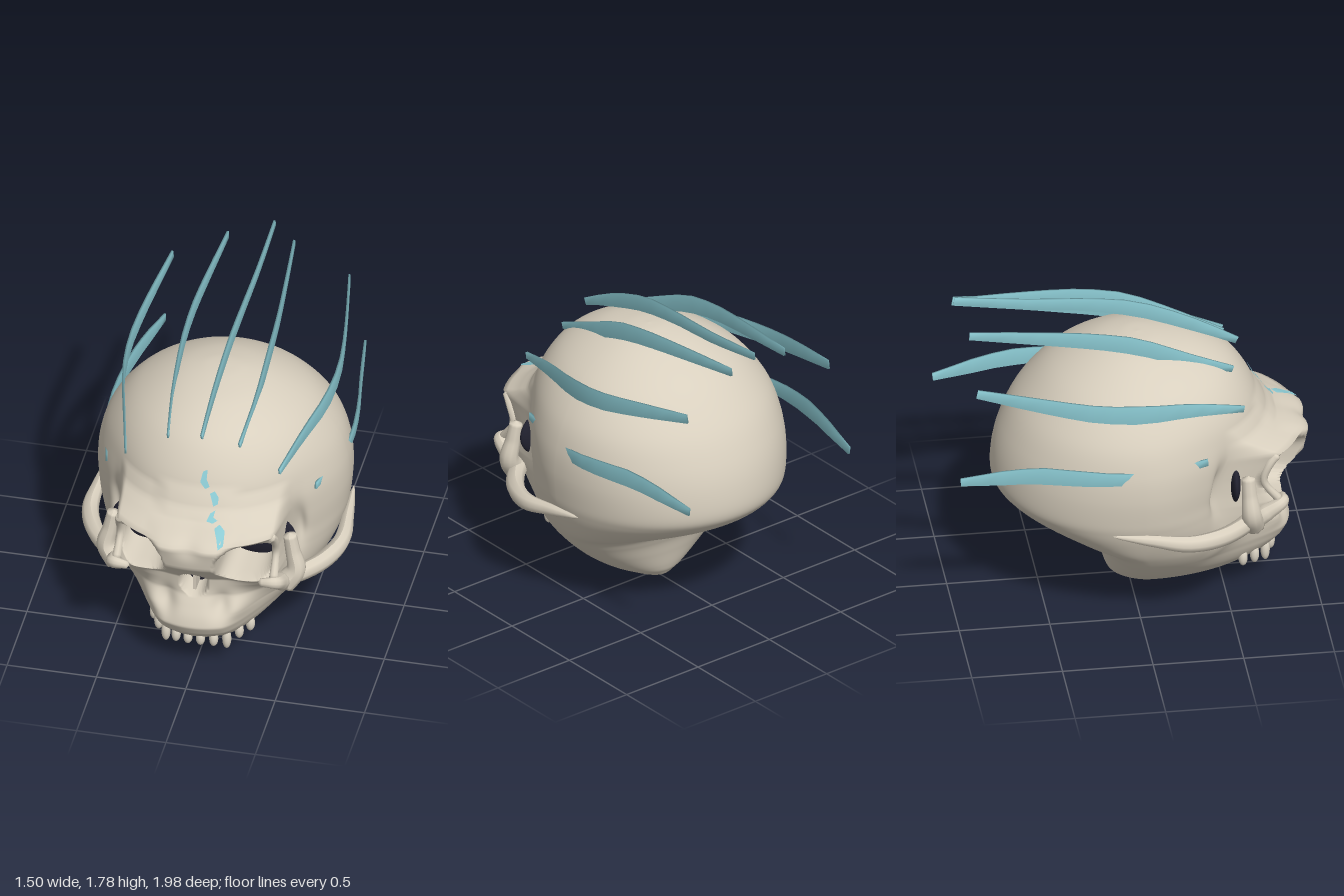
import * as THREE from 'three';

const V = (x, y, z) => new THREE.Vector3(x, y, z);
const smooth = (a, b, x) => THREE.MathUtils.smoothstep(x, a, b);
const mix = THREE.MathUtils.lerp;

// Piecewise linear lookup in [[key, value], ...]
function lookup(table, k) {
  if (k <= table[0][0]) return table[0][1];
  for (let i = 1; i < table.length; i++) {
    const [k0, v0] = table[i - 1], [k1, v1] = table[i];
    if (k <= k1) return mix(v0, v1, (k - k0) / (k1 - k0));
  }
  return table[table.length - 1][1];
}

// Skin closed rings of points (counter-clockwise about the direction of travel)
function loft(rings, capped) {
  const n = rings[0].length, last = (rings.length - 1) * n, index = [];
  for (let r = 0; r < rings.length - 1; r++) {
    for (let c = 0; c < n; c++) {
      const a = r * n + c, b = r * n + (c + 1) % n;
      index.push(a, b, a + n, b, b + n, a + n);
    }
  }
  if (capped) {
    for (let c = 1; c < n - 1; c++) index.push(0, c + 1, c, last, last + c, last + c + 1);
  }
  const geo = new THREE.BufferGeometry().setFromPoints(rings.flat());
  geo.setIndex(index);
  geo.computeVertexNormals();
  return geo;
}

// Rounded bone along a curve with varying radius and closed ends
function taperedTube(points, radii, segments = 24, sides = 10) {
  const curve = new THREE.CatmullRomCurve3(points);
  const geo = new THREE.TubeGeometry(curve, segments, 1, sides);
  const pos = geo.attributes.position, p = V(0, 0, 0);
  const table = radii.map((r, i) => [i / (radii.length - 1), r]);
  for (let i = 0; i < pos.count; i++) {
    const u = Math.floor(i / (sides + 1)) / segments, c = curve.getPointAt(u);
    const r = u === 0 || u === 1 ? 0 : lookup(table, u);
    p.fromBufferAttribute(pos, i).sub(c).multiplyScalar(r).add(c);
    pos.setXYZ(i, p.x, p.y, p.z);
  }
  geo.computeVertexNormals();
  return geo;
}

// Thin upright blade along a curve
function blade(points, heights) {
  const curve = new THREE.CatmullRomCurve3(points), rings = [], n = 12;
  const table = heights.map((h, i) => [i / (heights.length - 1), h]);
  for (let i = 0; i <= n; i++) {
    const p = curve.getPointAt(i / n), t = curve.getTangentAt(i / n);
    const side = t.clone().cross(V(0, 1, 0)).normalize(), down = t.clone().cross(side);
    const h = lookup(table, i / n);
    rings.push([[1, 1], [-1, 1], [-1, -1], [1, -1]].map(([a, b]) =>
      p.clone().addScaledVector(side, a * 0.006).addScaledVector(down, b * h)));
  }
  return loft(rings, true);
}

// Skull levels: y, front z, back z, half width, z of the widest point
const LEVELS = [
  [0, 0.1, 0.1, 0, 0.1], [0.01, 0.22, -0.06, 0.08, 0.08], [0.05, 0.42, -0.11, 0.18, 0.1],
  [0.1, 0.59, -0.135, 0.27, 0.1], [0.2, 0.66, -0.165, 0.4, 0.08], [0.3, 0.69, -0.2, 0.5, 0.05],
  [0.38, 0.7, -0.26, 0.565, 0.03], [0.45, 0.69, -0.42, 0.61, 0], [0.54, 0.67, -0.6, 0.65, 0],
  [0.62, 0.67, -0.71, 0.675, 0], [0.7, 0.68, -0.755, 0.69, 0], [0.85, 0.7, -0.745, 0.7, 0],
  [1.0, 0.72, -0.7, 0.685, 0], [1.15, 0.7, -0.62, 0.635, 0], [1.3, 0.62, -0.49, 0.53, 0.02],
  [1.4, 0.52, -0.36, 0.41, 0.04], [1.48, 0.36, -0.2, 0.26, 0.05], [1.52, 0.18, -0.05, 0.12, 0.05],
  [1.53, 0.05, 0.05, 0, 0.05]];
// How far the face stands out from the braincase, near the middle and at the sides
const MIDDLE = [[0.05, 0], [0.1, 0.02], [0.2, 0.12], [0.27, 0.17], [0.33, 0.19], [0.4, 0.165], [0.5, 0.13],
  [0.62, 0.14], [0.7, 0.2], [0.78, 0.27], [0.92, 0.28], [0.96, 0.22], [1, 0.1], [1.06, 0.04], [1.16, 0]];
const SIDES = [[0.3, 0], [0.4, 0.02], [0.5, 0.09], [0.58, 0.18], [0.64, 0.23], [0.7, 0.18],
  [0.8, 0.15], [0.9, 0.2], [0.94, 0.24], [0.98, 0.14], [1.04, 0.04], [1.12, 0]];

function faceZ(x, y, z) {
  const ax = Math.abs(x);
  const bump = (cx, cy, sx, sy) => Math.exp(-(((ax - cx) / sx) ** 2) - ((y - cy) / sy) ** 2);
  const edge = mix(0.42, 0.27, smooth(0.6, 0.75, y));
  const out = mix(lookup(MIDDLE, y), lookup(SIDES, y), smooth(0.15, edge, ax));
  z += out * (1 - smooth(0.43, 0.48, ax));
  z += 0.03 * bump(0.25, 0.42, 0.06, 0.06) - 0.04 * bump(0.15, 0.45, 0.05, 0.07);
  z -= 0.03 * bump(0, 0.93, 0.07, 0.06) + 0.07 * bump(0.5, 0.78, 0.04, 0.16);
  // eye sockets and nose opening
  const eye = (Math.abs(ax - 0.288) / 0.128) ** 2.7 + (Math.abs(y - 0.775) / 0.12) ** 2.7;
  z = mix(z, Math.min(z, 0.44), 1 - smooth(0.75, 1.35, eye));
  const nose = (ax / 0.066) ** 2 + ((y - 0.585) / 0.078) ** 2;
  return mix(z, 0.6, 1 - smooth(0.75, 1.35, nose));
}

function skullGeometry() {
  const depth = new THREE.CatmullRomCurve3(LEVELS.map(([y, f, b]) => V(f, y, b)), false, 'catmullrom');
  const width = new THREE.CatmullRomCurve3(LEVELS.map(([y, , , w, c]) => V(w, y, c)), false, 'catmullrom');
  const angles = [], rings = [], rows = 180;
  for (let i = 0; i < 160; i++) angles.push(-Math.PI / 2 + (i / 160) * Math.PI);
  for (let i = 0; i < 44; i++) angles.push(Math.PI / 2 + (i / 44) * Math.PI);
  for (let r = 0; r <= rows; r++) {
    const d = depth.getPoint(r / rows), w = width.getPoint(r / rows), y = d.y;
    const temple = 0.045 * smooth(0.5, 0.75, y) * (1 - smooth(1.05, 1.3, y));
    rings.push(angles.map((a) => {
      const c = Math.cos(a);
      if (c <= 0) return V(w.x * Math.sin(a), y, w.z - c * (d.z - w.z));
      // temples narrow a little toward the face
      const x = w.x * Math.sin(a) * (1 - temple * Math.sin(2 * a) ** 2);
      const z = w.z + c * (d.x - w.z);
      return V(x, y, mix(z, faceZ(x, y, z), Math.min(1, 2 * c)));
    }));
  }
  return loft(rings, false);
}

export function createModel() {
  const model = new THREE.Group();
  model.name = 'skull';
  const material = (name, color, side = THREE.FrontSide) => {
    const m = new THREE.MeshStandardMaterial({ color, side });
    m.name = name;
    return m;
  };
  const bone = material('bone', 0xd8cfbe);
  const tooth = material('tooth', 0xddd5c5);
  const dark = material('hollow', 0x222230);
  const blue = material('blue', 0x8ccad3, THREE.DoubleSide);
  const add = (name, geo, mat) => {
    const mesh = new THREE.Mesh(geo, mat);
    mesh.name = name;
    model.add(mesh);
    return mesh;
  };

  const skull = add('cranium', skullGeometry(), bone);
  const ray = new THREE.Raycaster();
  const surface = (x, y) => {
    ray.set(V(x, y, 3), V(0, 0, -1));
    return ray.intersectObject(skull)[0].point.z;
  };

  for (const s of [1, -1]) {
    const side = s > 0 ? 'left' : 'right';
    const path = (pts) => pts.map(([x, y, z]) => V(s * x, y, z));
    // dark eye hollow, also visible through the gap at the temple
    const eye = add(side + 'EyeHollow', new THREE.SphereGeometry(1, 32, 24), dark);
    eye.scale.set(0.2, 0.15, 0.04);
    eye.position.set(s * 0.315, 0.775, 0.53);
    // cheek bones
    add(side + 'CheekArch', taperedTube(path([[0.42, 0.55, 0.64], [0.54, 0.55, 0.54], [0.64, 0.555, 0.41],
      [0.702, 0.57, 0.24], [0.695, 0.605, 0.03], [0.68, 0.64, -0.18]]),
    [0.05, 0.05, 0.05, 0.045, 0.03, 0.006], 24, 8), bone);
    add(side + 'CheekPost', taperedTube(path([[0.46, 0.52, 0.63], [0.53, 0.62, 0.61], [0.51, 0.74, 0.6],
      [0.49, 0.85, 0.595]]), [0.065, 0.055, 0.042, 0.036]), bone);
    add(side + 'CheekBone', taperedTube(path([[0.36, 0.64, 0.8], [0.45, 0.645, 0.79], [0.46, 0.59, 0.7],
      [0.46, 0.53, 0.62]]), [0.02, 0.035, 0.05, 0.05]), bone);
    add(side + 'EyeRim', taperedTube(path([[0.42, 0.94, 0.77], [0.435, 0.88, 0.72], [0.435, 0.78, 0.69],
      [0.44, 0.65, 0.78]]), [0.025, 0.022, 0.02, 0.025]), bone);
    // hair blades
    add(side + 'InnerBlade', blade(path([[0.2, 1.365, 0.55], [0.23, 1.46, 0.3], [0.242, 1.58, 0],
      [0.238, 1.63, -0.25], [0.22, 1.655, -0.5], [0.185, 1.685, -0.9]]),
    [0.018, 0.04, 0.05, 0.045, 0.035, 0.022]), blue);
    add(side + 'OuterBlade', blade(path([[0.43, 1.245, 0.58], [0.5, 1.3, 0.3], [0.57, 1.335, 0],
      [0.585, 1.37, -0.25], [0.56, 1.42, -0.5], [0.495, 1.5, -0.9]]),
    [0.018, 0.04, 0.055, 0.05, 0.04, 0.025]), blue);
    add(side + 'TempleBlade', blade(path([[0.585, 1.015, 0.36], [0.61, 1.005, 0.25], [0.637, 1, 0.15],
      [0.66, 0.995, 0], [0.676, 0.995, -0.12], [0.665, 1.015, -0.35], [0.625, 1.03, -0.6],
      [0.56, 0.985, -1]]), [0.02, 0.028, 0.035, 0.045, 0.05, 0.042, 0.022]), blue);
  }
  add('middleBlade', blade([V(0, 1.425, 0.6), V(0.01, 1.53, 0.38), V(0.03, 1.65, 0.05),
    V(0.045, 1.695, -0.25), V(0.055, 1.715, -0.55), V(0.065, 1.765, -0.95)],
  [0.02, 0.04, 0.045, 0.035, 0.03, 0.02]), blue);

  // nose hollow and septum
  const nose = add('noseHollow', new THREE.SphereGeometry(1, 24, 16), dark);
  nose.scale.set(0.08, 0.1, 0.02);
  nose.position.set(0, 0.585, 0.66);
  const septum = add('septum', new THREE.BoxGeometry(0.018, 0.14, 0.12), bone);
  septum.position.set(0, 0.59, 0.72);

  // upper teeth: x, half height
  [[-0.265, 0.05], [-0.225, 0.055], [-0.17, 0.065], [-0.105, 0.05], [-0.035, 0.045], [0.035, 0.045],
    [0.105, 0.05], [0.17, 0.065], [0.225, 0.05], [0.27, 0.05]].forEach(([x, h], i) => {
    const t = add('tooth' + (i + 1), new THREE.SphereGeometry(1, 12, 10), tooth);
    t.scale.set(0.026, h, 0.026);
    t.position.set(x, 0.245 - h, surface(x, 0.2) + 0.01);
  });

  // crack running down the forehead
  [[[0.035, 1.25], [0.03, 1.2], [0.055, 1.165]], [[0.085, 1.145], [0.105, 1.115], [0.11, 1.085]],
    [[0.1, 1.055], [0.09, 1.025], [0.12, 1.015]], [[0.135, 1.0], [0.165, 0.98], [0.18, 0.945]]]
    .forEach((line, i) => {
      const pts = [], half = [0.012, 0.017, 0.012];
      line.forEach(([x, y], k) => {
        for (const e of [-1, 1]) {
          const px = x + e * half[k], py = y + e * half[k] * 0.5;
          pts.push(V(px, py, surface(px, py) + 0.012));
        }
      });
      const geo = new THREE.BufferGeometry().setFromPoints(pts);
      geo.setIndex([0, 2, 1, 1, 2, 3, 2, 4, 3, 3, 4, 5]);
      geo.computeVertexNormals();
      add('crack' + (i + 1), geo, blue);
    });
  return model;
}
